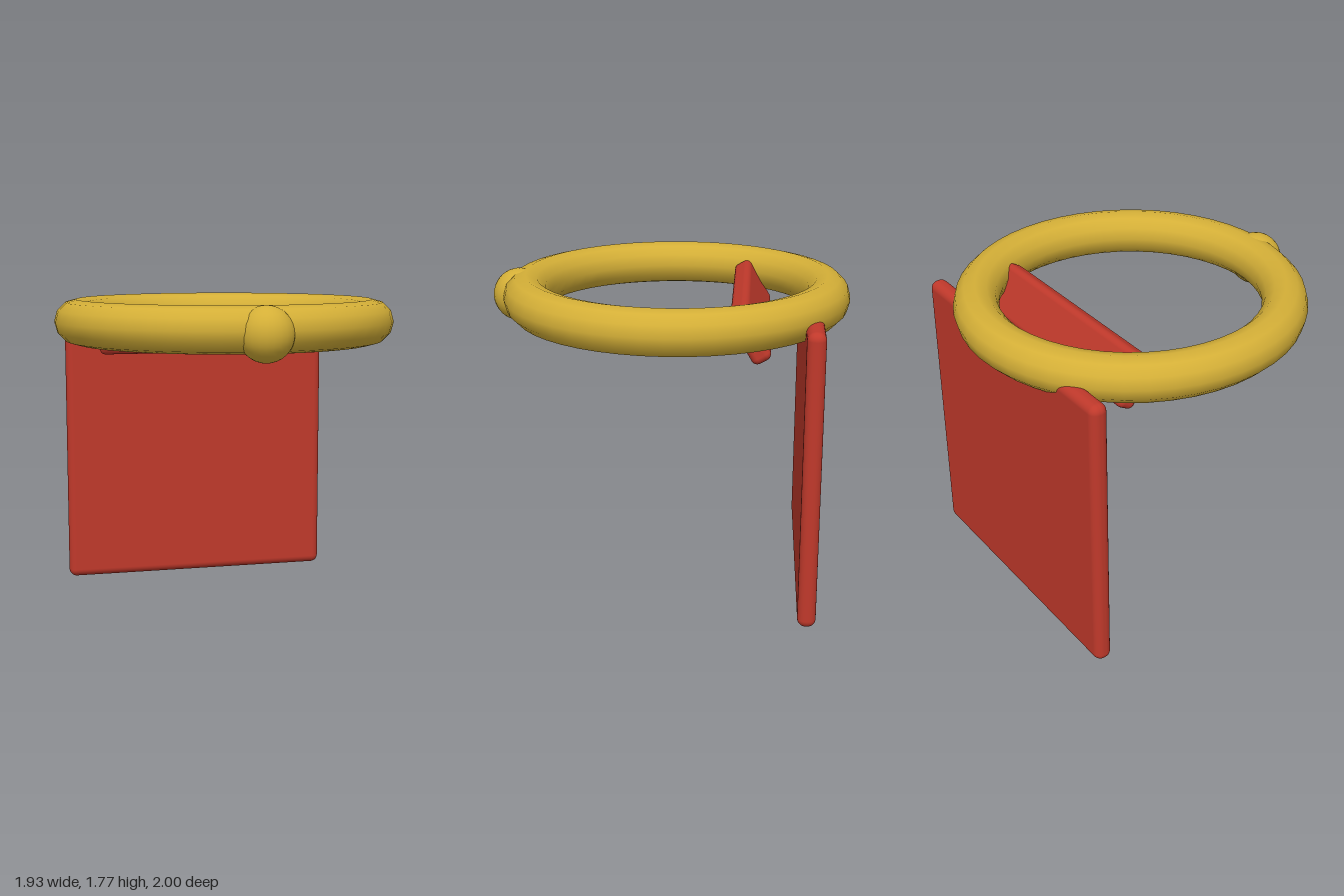
import * as THREE from 'three';
import { RoundedBoxGeometry } from 'three/addons/geometries/RoundedBoxGeometry.js';

const gold = new THREE.MeshStandardMaterial({ name: 'gold', color: 0xd4af37 });
const red = new THREE.MeshStandardMaterial({ name: 'red', color: 0xc0392b });

export function createModel() {
  const model = new THREE.Group();
  model.name = 'ringWithPanel';

  const add = (name, geometry, material, x, y, z) => {
    const mesh = new THREE.Mesh(geometry, material);
    mesh.name = name;
    mesh.position.set(x, y, z);
    model.add(mesh);
    return mesh;
  };

  // Horizontal ring
  const ring = add('ring', new THREE.TorusGeometry(0.84, 0.125, 12, 48), gold, 0, 1.645, -0.035);
  ring.rotation.x = Math.PI / 2;

  // Ball set into the front of the ring
  add('frontBall', new THREE.SphereGeometry(0.148, 24, 16), gold, 0, 1.625, 0.852);

  // Tall panel hanging from the back of the ring
  add('backPanel', new RoundedBoxGeometry(1.64, 1.645, 0.1, 4, 0.045), red, 0, 0.8225, -0.79);

  // Bar across the ring, its top leaning forward
  const bar = add('crossBar', new RoundedBoxGeometry(1.3, 0.29, 0.11, 4, 0.035), red, 0, 1.564, -0.456);
  bar.rotation.x = Math.PI / 6;

  return model;
}
